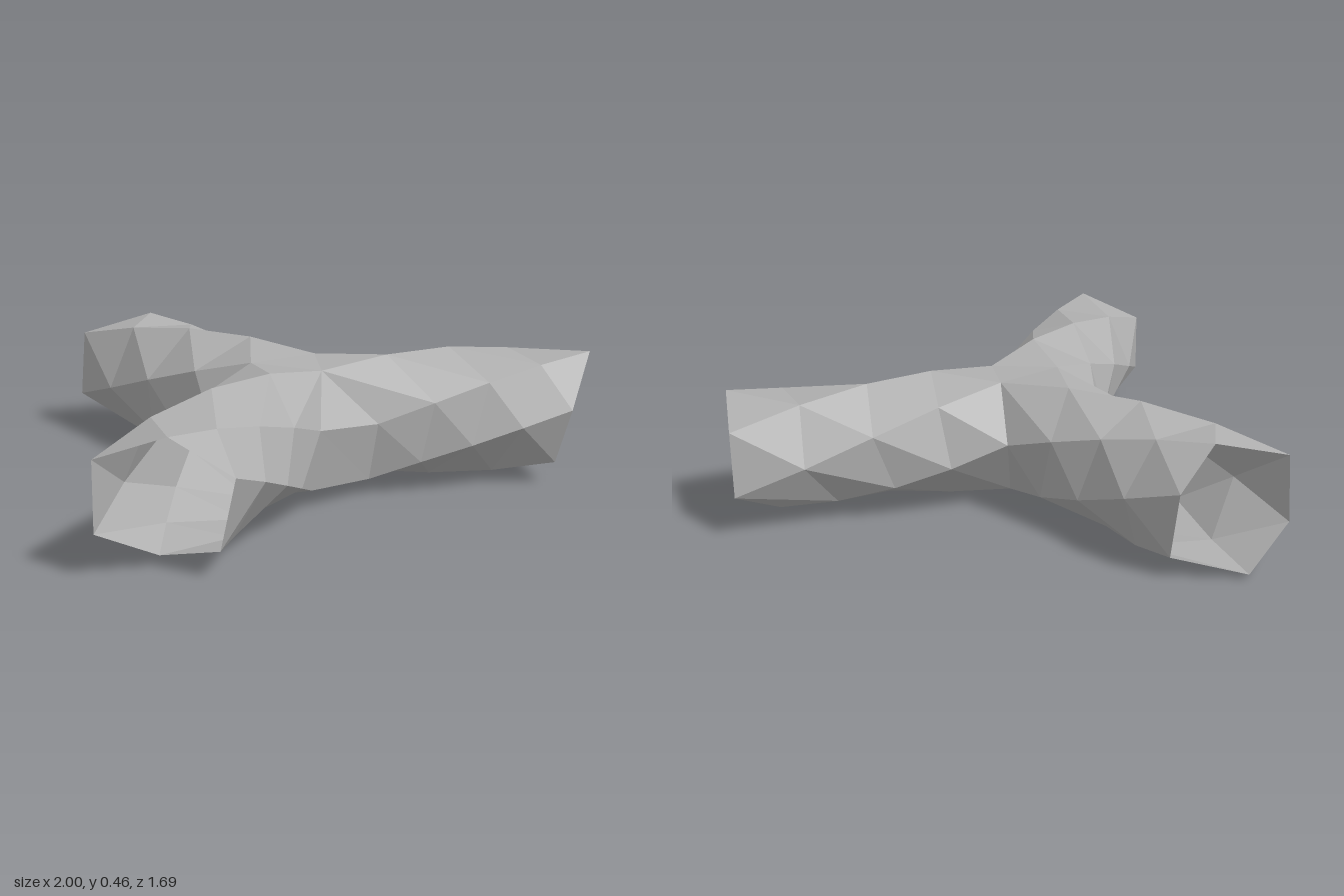
import * as THREE from 'three';

const V = (x, y, z) => new THREE.Vector3(x, y, z);
const MID = V(0, 0.215, 0.2); // hub centre
const SEGMENTS = 4;

function flatMesh(name, points, material) {
  const geometry = new THREE.BufferGeometry().setFromPoints(points);
  geometry.computeVertexNormals();
  const mesh = new THREE.Mesh(geometry, material);
  mesh.name = name;
  return mesh;
}

// Twisted six-sided open tube running from the hub ring to its stepped rim.
// "out" points along the arm, "side" is the direction of angle zero.
function makeArm(name, root, rim, out, side, flip, material) {
  const polar = (p) => {
    const d = p.clone().sub(MID);
    const s = d.dot(side);
    return { along: d.dot(out), angle: Math.atan2(d.y, s), radius: Math.hypot(s, d.y) };
  };
  const lines = root.map((p, i) => {
    const a = polar(p), b = polar(rim[i]);
    let twist = b.angle - a.angle;
    while (twist < 0) twist += Math.PI * 2;
    while (twist > Math.PI * 2) twist -= Math.PI * 2;
    const line = [];
    for (let k = 0; k <= SEGMENTS; k++) {
      const t = k / SEGMENTS;
      const angle = a.angle + twist * t;
      const radius = THREE.MathUtils.lerp(a.radius, b.radius, Math.sqrt(t));
      line.push(MID.clone()
        .addScaledVector(out, THREE.MathUtils.lerp(a.along, b.along, t))
        .addScaledVector(side, Math.cos(angle) * radius)
        .add(V(0, Math.sin(angle) * radius, 0)));
    }
    line[0].copy(p);
    line[SEGMENTS].copy(rim[i]);
    return line;
  });
  const points = [];
  const face = (a, b, c) => points.push(...(flip ? [a, c, b] : [a, b, c]));
  for (let i = 0; i < 6; i++) {
    const p = lines[i], q = lines[(i + 1) % 6];
    for (let k = 0; k < SEGMENTS; k++) {
      face(p[k], p[k + 1], q[k]);
      face(q[k], p[k + 1], q[k + 1]);
    }
  }
  return flatMesh(name, points, material);
}

export function createModel() {
  const group = new THREE.Group();
  group.name = 'threeWayTube';
  const grey = new THREE.MeshStandardMaterial({
    color: 0xb0b0b0, flatShading: true, side: THREE.DoubleSide,
  });
  grey.name = 'grey';

  // Hub corners shared by the arms
  const topL = V(-0.14, 0.42, 0.16), topR = V(0.12, 0.42, 0.18), topF = V(0, 0.41, 0.36);
  const crotchL = V(-0.26, 0.25, 0.07), crotchR = V(0.22, 0.25, 0.04);
  const frontL = V(-0.13, 0.26, 0.51), frontR = V(0.12, 0.24, 0.51);
  const lowL = V(-0.11, 0.02, 0.15), lowR = V(0.11, 0.02, 0.15);
  const lowFL = V(-0.13, 0.05, 0.47), lowFR = V(0.12, 0.04, 0.47);

  // Hub panels: top, front and underside
  group.add(flatMesh('hub', [
    topL, topF, topR,
    topF, frontL, frontR,
    frontL, lowFL, lowFR, frontL, lowFR, frontR,
    lowL, lowR, lowFR, lowL, lowFR, lowFL,
  ], grey));

  // Back arm
  group.add(makeArm('backArm',
    [crotchR, topR, topL, crotchL, lowL, lowR],
    [V(0.05, 0.43, -0.73), V(-0.18, 0.36, -0.85), V(-0.2, 0.12, -0.85),
      V(0, 0, -0.85), V(0.18, 0.06, -0.67), V(0.2, 0.3, -0.72)],
    V(0, 0, -1), V(1, 0, 0), false, grey));

  // Left and right arms, twisting in opposite senses
  const c = Math.cos(Math.PI / 6);
  group.add(makeArm('leftArm',
    [frontR, topF, topR, crotchR, lowR, lowFR],
    [V(0.86, 0.43, 0.77), V(0.98, 0.36, 0.57), V(1, 0.14, 0.54),
      V(0.8, 0.03, 0.58), V(0.71, 0.06, 0.77), V(0.7, 0.26, 0.84)],
    V(c, 0, 0.5), V(-0.5, 0, c), false, grey));
  group.add(makeArm('rightArm',
    [frontL, topF, topL, crotchL, lowL, lowFL],
    [V(-0.88, 0.43, 0.75), V(-1, 0.34, 0.55), V(-1, 0.12, 0.55),
      V(-0.8, 0.02, 0.58), V(-0.72, 0.07, 0.77), V(-0.71, 0.3, 0.83)],
    V(-c, 0, 0.5), V(0.5, 0, c), true, grey));

  return group;
}
